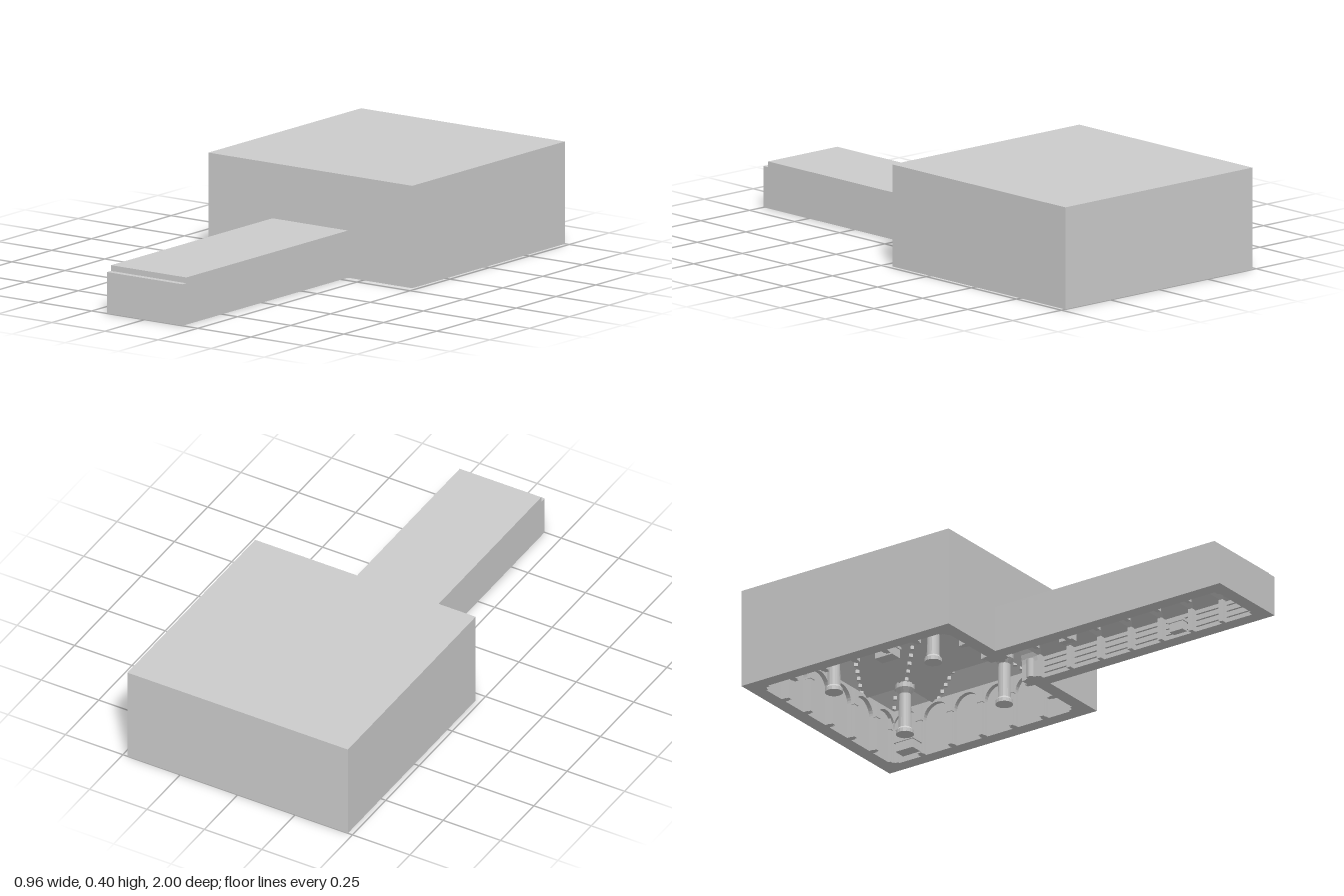
import * as THREE from 'three';

export function createModel() {
  const root = new THREE.Group();
  root.name = 'vaultedHall';
  const stone = new THREE.MeshStandardMaterial({ color: 0xcccccc, side: THREE.DoubleSide });
  stone.name = 'grey stone';

  const add = (name, geo, x = 0, y = 0, z = 0, ry = 0) => {
    const m = new THREE.Mesh(geo, stone);
    m.name = name;
    m.position.set(x, y, z);
    m.rotation.y = ry;
    root.add(m);
    return m;
  };
  // box given by its limits
  const box = (name, x0, x1, y0, y1, z0, z1) =>
    add(name, new THREE.BoxGeometry(x1 - x0, y1 - y0, z1 - z0), (x0 + x1) / 2, (y0 + y1) / 2, (z0 + z1) / 2);
  // upright wall with one round-headed opening
  const archedSlab = (w, h, r, spring, depth) => {
    const s = new THREE.Shape();
    s.moveTo(-w / 2, 0);
    s.lineTo(-r, 0);
    s.lineTo(-r, spring);
    s.absarc(0, spring, r, Math.PI, 0, true);
    s.lineTo(r, 0);
    s.lineTo(w / 2, 0);
    s.lineTo(w / 2, h);
    s.lineTo(-w / 2, h);
    return new THREE.ExtrudeGeometry(s, { depth, bevelEnabled: false, curveSegments: 8 });
  };
  // four-sided tent vault over one bay
  const vault = (name, x0, x1, z0, z1, spring, rise) => {
    const g = new THREE.ConeGeometry(Math.SQRT2, 1, 4, 1, true).rotateY(Math.PI / 4);
    g.scale((x1 - x0) / 2, rise, (z1 - z0) / 2);
    const flat = g.toNonIndexed();
    flat.computeVertexNormals();
    add(name, flat, (x0 + x1) / 2, spring + rise / 2, (z0 + z1) / 2);
  };

  // hall shell
  const W = 0.48, I = 0.425, zc = -0.52;
  box('hallRoof', -W, W, 0.388, 0.395, -1, -0.04);
  box('hallBackWall', -W, W, 0, 0.39, -1, -0.945);
  for (const s of [-1, 1]) {
    add('hallSideWall', new THREE.BoxGeometry(0.055, 0.39, 0.85), s * 0.4525, 0.195, zc);
  }
  add('hallFrontWall', archedSlab(2 * W, 0.39, 0.095, 0.065, 0.055), 0, 0, -0.095);

  // hall vaults on a three by three grid, with carved blocks along the diagonals
  const lines = [-I, -0.23, 0.23, I];
  const spring = 0.2, rise = 0.18;
  for (let i = 0; i < 3; i++) {
    for (let j = 0; j < 3; j++) {
      const [x0, x1, z0, z1] = [lines[i], lines[i + 1], zc + lines[j], zc + lines[j + 1]];
      vault('hallVault', x0, x1, z0, z1, spring, rise);
      const n = i === 1 || j === 1 ? 20 : 12;
      for (const s of [-1, 1]) {
        for (let k = 1; k < n; k++) {
          const u = (2 * k) / n - 1;
          add('ribBlock', new THREE.BoxGeometry(0.014, 0.014, 0.014),
            (x0 + x1) / 2 + (u * (x1 - x0)) / 2, spring - 0.005 + rise * (1 - Math.abs(u)),
            (z0 + z1) / 2 + (s * u * (z1 - z0)) / 2, Math.PI / 4);
        }
      }
    }
  }

  // columns
  const prof = [[0, 0], [0.034, 0], [0.034, 0.015], [0.025, 0.025], [0.023, 0.165], [0.036, 0.185], [0.036, 0.205], [0, 0.205]];
  for (const a of [-0.23, 0.23]) {
    for (const b of [-0.23, 0.23]) {
      add('column', new THREE.LatheGeometry(prof.map(([x, y]) => new THREE.Vector2(x, y)), 16).toNonIndexed(), a, 0, zc + b)
        .geometry.computeVertexNormals();
    }
  }

  // blind arcade round the hall walls
  const pitch = (2 * I) / 6;
  for (let side = 0; side < 4; side++) {
    const ang = (side * Math.PI) / 2, sn = Math.sin(ang), cs = Math.cos(ang);
    const place = (name, geo, along, y, out) =>
      add(name, geo, along * cs + out * sn, y, zc - along * sn + out * cs, ang);
    for (let i = 0; i <= 6; i++) {
      const t = -I + pitch * i;
      const doorway = side === 0 && i === 3;
      if (!doorway) {
        place('pilaster', new THREE.BoxGeometry(0.018, 0.2, 0.03), t, 0.1, I - 0.015);
        place('pilasterCap', new THREE.BoxGeometry(0.026, 0.012, 0.034), t, 0.14, I - 0.017);
      }
      if (i < 6 && !(side === 0 && (i === 2 || i === 3))) {
        place('blindArch', archedSlab(pitch, 0.21, 0.058, 0.14, 0.018), t + pitch / 2, 0, I - 0.018);
      }
    }
  }
  // doorway surround
  add('doorwayArch', archedSlab(0.27, 0.2, 0.1, 0.065, 0.02), 0, 0, -0.115);
  for (const s of [-1, 1]) {
    add('doorwayPost', new THREE.CylinderGeometry(0.016, 0.016, 0.075, 10), s * 0.095, 0.0375, -0.07);
  }

  // corridor shell
  const zA = -0.04, zB = 0.945, cw = 0.122, co = 0.1775;
  box('corridorRoof', -co, co, 0.158, 0.182, zA, 0.975);
  box('corridorEndWall', -co, co, 0, 0.16, zB, 1);
  box('corridorRightWall', -co, -cw, 0, 0.16, zA, zB);
  box('corridorLeftWall', cw, co, 0, 0.16, zA, zB);

  // corridor bays with vaults, pilasters and wall shelves
  const n = 7, bay = (zB - zA) / n;
  for (let i = 0; i <= n; i++) {
    const z = zA + bay * i;
    if (i < n) vault('corridorVault', -cw, cw, z, z + bay, 0.088, 0.07);
    for (const s of [-1, 1]) {
      add('corridorPilaster', new THREE.BoxGeometry(0.022, 0.09, 0.018), s * 0.111, 0.045, z);
      if (i === n) continue;
      for (const y of [0.02, 0.045, 0.07]) {
        add('wallShelf', new THREE.BoxGeometry(0.01, 0.006, bay * 0.75), s * 0.118, y, z + bay / 2);
      }
    }
  }

  // stone chests
  const chest = (x, z, w, d) => {
    add('chest', new THREE.BoxGeometry(w, 0.035, d), x, 0.0175, z);
    add('chestLid', new THREE.BoxGeometry(w + 0.01, 0.01, d + 0.01), x, 0.04, z);
  };
  chest(0.36, -0.83, 0.05, 0.08);
  chest(-0.36, -0.41, 0.05, 0.08);
  chest(0.085, 0.62, 0.03, 0.06);
  chest(-0.085, 0.23, 0.03, 0.06);

  return root;
}
